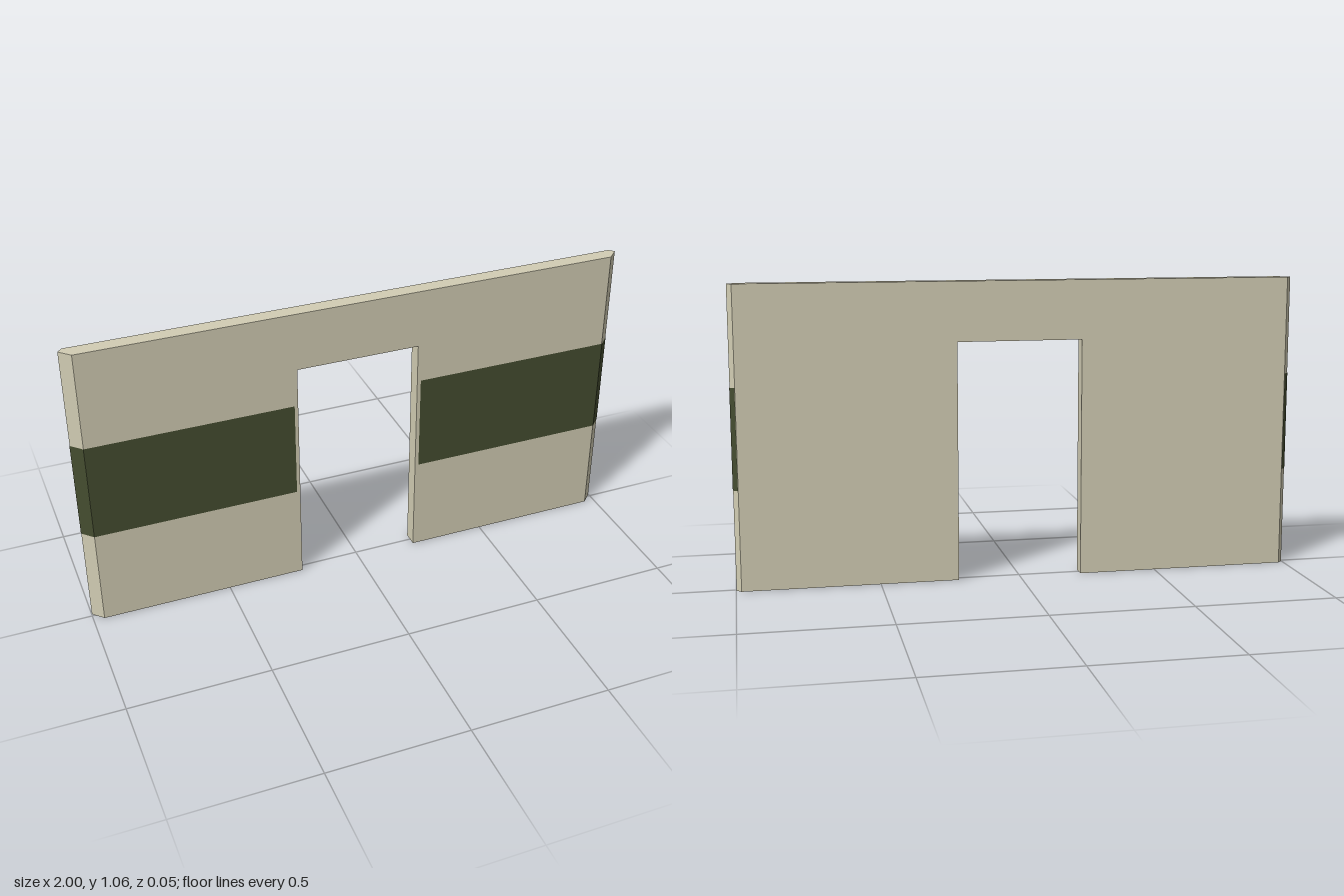
import * as THREE from 'three';

const HEIGHT = 1.06, DOOR_HALF = 0.222, DOOR_TOP = 0.85;
const BAND_LOW = 0.355, BAND_HIGH = 0.71, BAND_INNER = 0.235;
// Half plan of the chamfered wall end, front to back: [x, z]
const END = [[0.962, 0.027], [0.999, -0.01], [0.982, -0.027]];
const SKIN = 0.001;

// Wall outline with a doorway notch, extruded in two steps so the ends can be chamfered
function wallGeometry() {
  const shape = new THREE.Shape([
    [-1, 0], [-DOOR_HALF, 0], [-DOOR_HALF, DOOR_TOP], [DOOR_HALF, DOOR_TOP],
    [DOOR_HALF, 0], [1, 0], [1, HEIGHT], [-1, HEIGHT],
  ].map(([x, y]) => new THREE.Vector2(x, y)));
  const geo = new THREE.ExtrudeGeometry(shape, { depth: 2, steps: 2, bevelEnabled: false });
  const p = geo.attributes.position;
  for (let i = 0; i < p.count; i++) {
    const [endX, z] = END[2 - Math.round(p.getZ(i))];
    const x = p.getX(i);
    p.setX(i, Math.abs(x) > 0.9 ? Math.sign(x) * endX : x);
    p.setZ(i, z);
  }
  geo.computeVertexNormals();
  return geo;
}

// Painted band that runs along the front and wraps round the chamfered end
function bandGeometry(side) {
  const path = [
    [BAND_INNER, END[0][1] + SKIN],
    [END[0][0] + SKIN / 2, END[0][1] + SKIN],
    [END[1][0] + SKIN, END[1][1]],
    [END[2][0] + SKIN, END[2][1]],
  ].map(([x, z]) => [side * x, z]);
  if (side < 0) path.reverse();
  const plane = new THREE.PlaneGeometry(3, 1, 3, 1);
  const p = plane.attributes.position;
  for (let i = 0; i < p.count; i++) {
    const [x, z] = path[i % 4];
    p.setXYZ(i, x, i < 4 ? BAND_HIGH : BAND_LOW, z);
  }
  const geo = plane.toNonIndexed();
  geo.computeVertexNormals();
  return geo;
}

export function createModel() {
  const model = new THREE.Group();
  model.name = 'doorwayWall';

  const wall = new THREE.Mesh(wallGeometry(), new THREE.MeshStandardMaterial({ color: 0xd2cdb4 }));
  wall.name = 'wall';
  model.add(wall);

  const paint = new THREE.MeshStandardMaterial({ color: 0x454d30, side: THREE.DoubleSide });
  for (const side of [1, -1]) {
    const band = new THREE.Mesh(bandGeometry(side), paint);
    band.name = side > 0 ? 'leftBand' : 'rightBand';
    model.add(band);
  }
  return model;
}
